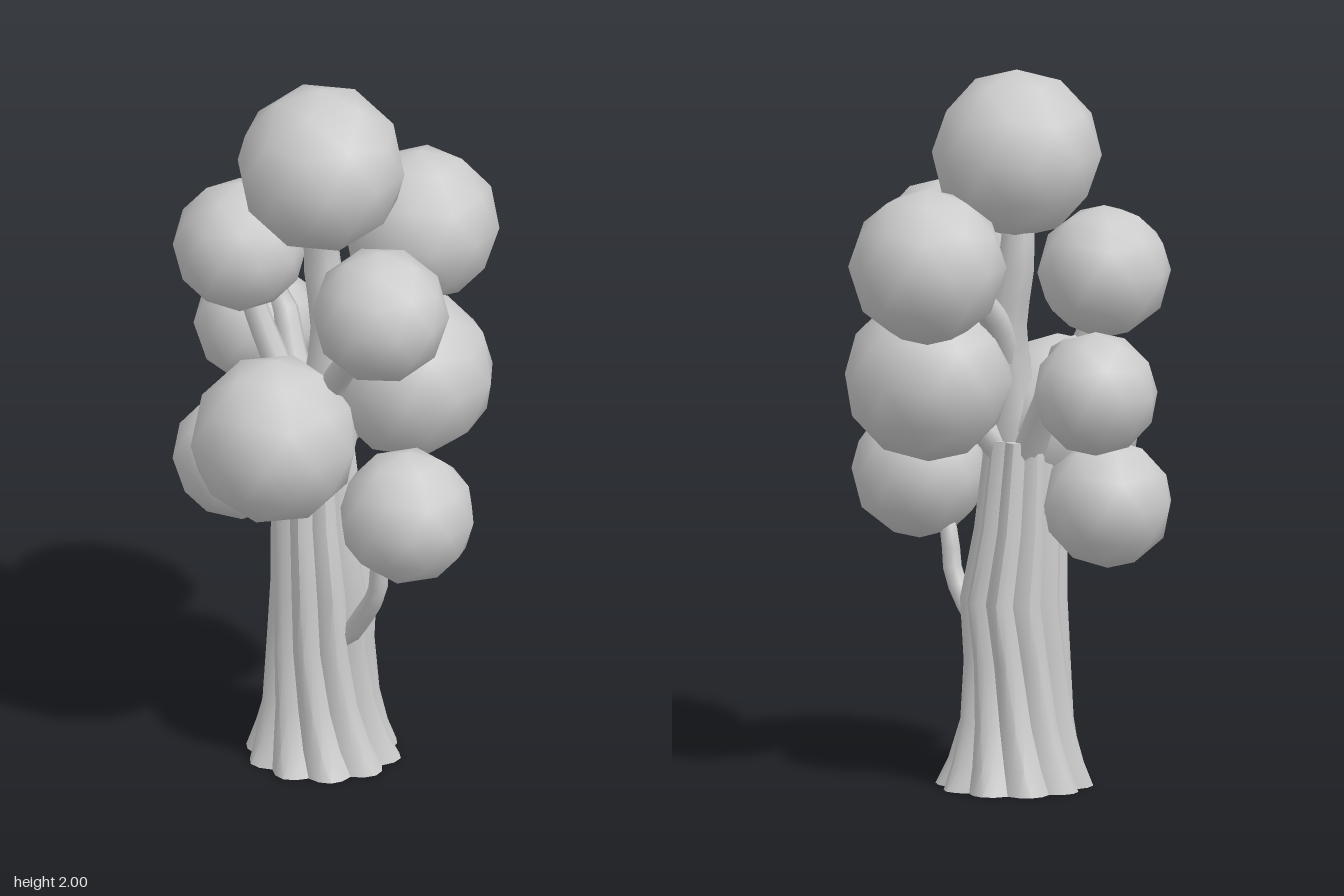
import * as THREE from 'three';
import { toCreasedNormals } from 'three/addons/utils/BufferGeometryUtils.js';

// Trunk rings: height, centre x, centre z, radius, twist
const RINGS = [
  [0, -0.015, 0.065, 0.218, 0],
  [0.07, -0.02, 0.065, 0.19, 0.1],
  [0.18, -0.02, 0.07, 0.163, 0.24],
  [0.35, -0.02, 0.072, 0.148, 0.42],
  [0.52, -0.01, 0.072, 0.148, 0.55],
  [0.72, -0.028, 0.078, 0.128, 0.52],
  [0.97, -0.035, 0.085, 0.108, 0.48],
];
const LOBES = 10;

// Foliage balls: centre and radius
const BALLS = [
  [-0.02, 1.765, 0.07, 0.235],
  [0.103, 1.495, -0.262, 0.218],
  [0.272, 1.455, 0.242, 0.19],
  [-0.292, 1.46, 0.048, 0.185],
  [-0.342, 1.15, -0.124, 0.173],
  [-0.31, 0.815, 0.03, 0.181],
  [-0.068, 1.0, 0.24, 0.236],
  [0.19, 1.145, -0.056, 0.236],
  [0.32, 0.835, 0.18, 0.19],
];

// Branches: start radius, end radius, path points
const BRANCHES = [
  ['mainStem', 0.085, 0.04, [-0.03, 0.88, 0.08], [0.0, 1.1, 0.07], [0.005, 1.28, 0.05], [-0.03, 1.48, 0.05], [-0.02, 1.7, 0.07]],
  ['backBranch', 0.045, 0.03, [0.0, 1.15, 0.06], [0.0, 1.3, -0.02], [0.04, 1.42, -0.14], [0.1, 1.5, -0.25]],
  ['upperLeftBranch', 0.045, 0.03, [-0.02, 0.92, 0.09], [0.05, 1.13, 0.14], [0.16, 1.29, 0.2], [0.26, 1.44, 0.24]],
  ['upperRightBranch', 0.045, 0.03, [-0.05, 0.92, 0.07], [-0.17, 1.13, 0.05], [-0.24, 1.28, 0.05], [-0.29, 1.44, 0.05]],
  ['backRightBranch', 0.05, 0.03, [-0.05, 0.9, 0.05], [-0.16, 1.12, -0.02], [-0.24, 1.27, -0.08], [-0.33, 1.2, -0.12]],
  ['lowerRightBranch', 0.035, 0.025, [-0.06, 0.72, 0.07], [-0.16, 0.8, 0.05], [-0.28, 0.82, 0.03]],
  ['frontBranch', 0.045, 0.03, [-0.04, 0.85, 0.1], [-0.06, 0.95, 0.17], [-0.07, 1.0, 0.24]],
  ['sideBranch', 0.05, 0.03, [-0.02, 0.9, 0.06], [0.07, 1.02, 0.0], [0.18, 1.14, -0.05]],
  ['lowerLeftBranch', 0.032, 0.022, [0.06, 0.36, 0.1], [0.125, 0.44, 0.115], [0.2, 0.56, 0.14], [0.222, 0.68, 0.155], [0.3, 0.82, 0.18]],
];

// Fluted, twisted trunk with a flared foot
function trunkGeometry() {
  const geo = new THREE.CylinderGeometry(1, 1, 1, LOBES * 4, RINGS.length - 1);
  const pos = geo.attributes.position;
  for (let i = 0; i < pos.count; i++) {
    const ring = Math.round((pos.getY(i) + 0.5) * (RINGS.length - 1));
    const [y, cx, cz, radius, twist] = RINGS[ring];
    const x = pos.getX(i), z = pos.getZ(i);
    const a = Math.atan2(z, x);
    const r = Math.hypot(x, z) * radius * (0.86 + 0.14 * Math.abs(Math.sin(a * LOBES / 2)));
    pos.setXYZ(i, cx + r * Math.cos(a + twist), y, cz + r * Math.sin(a + twist));
  }
  return toCreasedNormals(geo, 0.6);
}

// Tapered tube along a smooth curve
function branchGeometry(r0, r1, points) {
  const curve = new THREE.CatmullRomCurve3(points.map(p => new THREE.Vector3(...p)));
  const steps = 10, sides = 8;
  const geo = new THREE.TubeGeometry(curve, steps, 1, sides);
  const pos = geo.attributes.position, v = new THREE.Vector3();
  for (let i = 0; i < pos.count; i++) {
    const t = Math.floor(i / (sides + 1)) / steps;
    const c = curve.getPointAt(t);
    v.fromBufferAttribute(pos, i).sub(c).multiplyScalar(r0 + (r1 - r0) * t).add(c);
    pos.setXYZ(i, v.x, v.y, v.z);
  }
  return geo;
}

export function createModel() {
  const group = new THREE.Group();
  group.name = 'tree';
  const grey = new THREE.MeshStandardMaterial({ color: 0xcccccc });
  grey.name = 'light grey';
  const add = (name, geo) => {
    const mesh = new THREE.Mesh(geo, grey);
    mesh.name = name;
    group.add(mesh);
    return mesh;
  };

  add('trunk', trunkGeometry());
  for (const [name, r0, r1, ...points] of BRANCHES) add(name, branchGeometry(r0, r1, points));

  // Low-poly balls with one corner pointing straight up
  const ball = new THREE.IcosahedronGeometry(1, 1);
  ball.rotateZ(-Math.atan(2 / (1 + Math.sqrt(5))));
  BALLS.forEach(([x, y, z, r], i) => {
    const mesh = add('foliage' + (i + 1), ball);
    mesh.position.set(x, y, z);
    mesh.scale.setScalar(r);
    mesh.rotation.y = i * 0.7;
  });
  return group;
}
